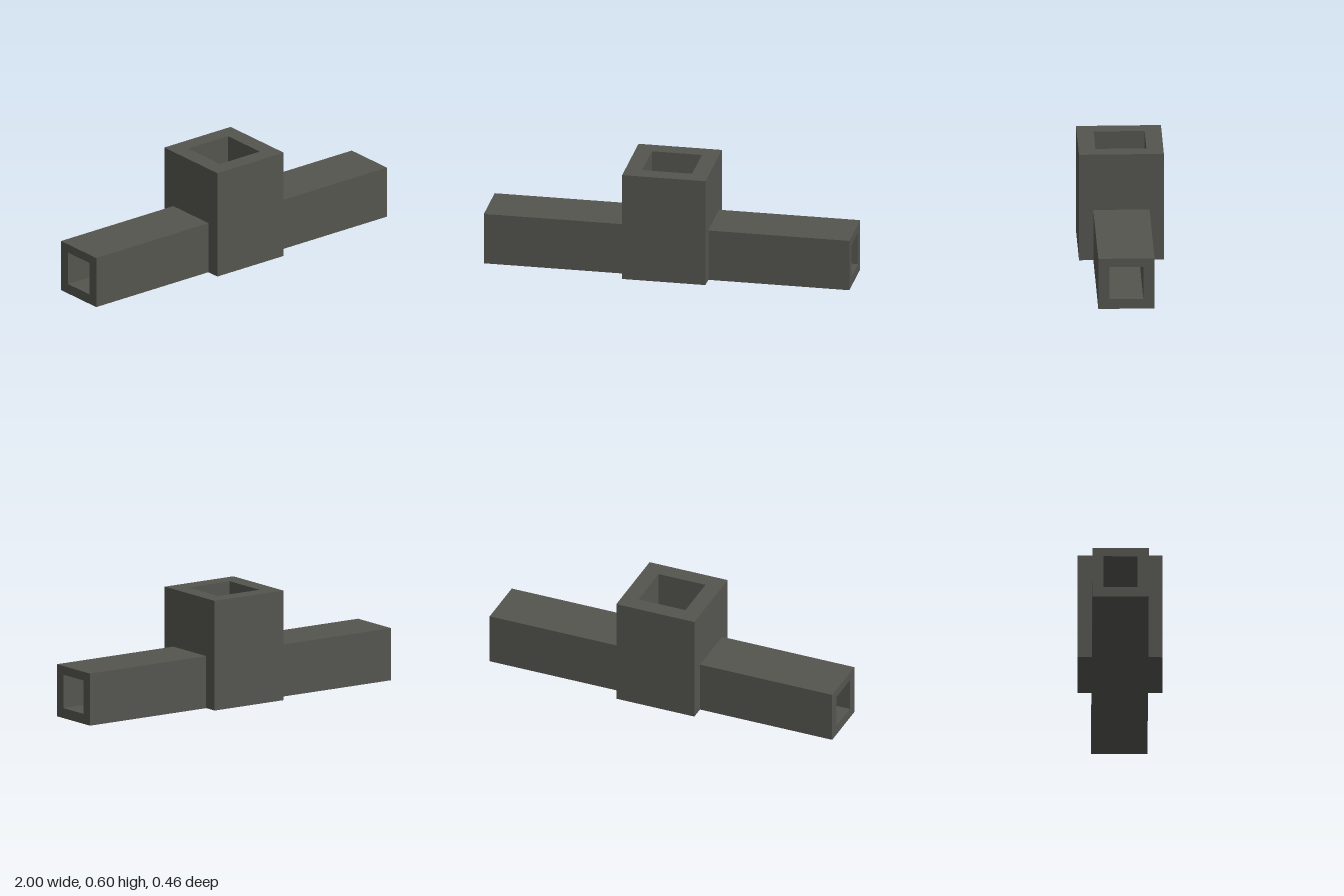
import * as THREE from 'three';

// Rectangle path: half width w, from y0 to y1
function rect(PathType, w, y0, y1) {
  return new PathType([[-w, y0], [w, y0], [w, y1], [-w, y1]].map(p => new THREE.Vector2(...p)));
}

// Square tube extruded along z
function tube(outer, inner, length) {
  const shape = rect(THREE.Shape, ...outer);
  shape.holes.push(rect(THREE.Path, ...inner));
  return new THREE.ExtrudeGeometry(shape, { depth: length, bevelEnabled: false });
}

export function createModel() {
  const model = new THREE.Group();
  model.name = 'teeConnector';
  const grey = new THREE.MeshStandardMaterial({ color: 0x555550 });
  grey.name = 'dark grey';

  const hub = 0.228, floor = 0.286, height = 0.602;
  const channel = [0.091, 0.055, 0.238];

  const add = (name, geometry) => {
    const mesh = new THREE.Mesh(geometry, grey);
    mesh.name = name;
    model.add(mesh);
  };

  // Arms with the through channel
  const armLength = 1 - hub;
  for (const [name, x] of [['leftArm', hub], ['rightArm', -1]]) {
    add(name, tube([0.151, 0, floor], channel, armLength).rotateY(Math.PI / 2).translate(x, 0, 0));
  }

  // Hub base: carries the channel, and its top is the socket floor
  add('hubBase', tube([hub, 0, floor], channel, 2 * hub).rotateY(Math.PI / 2).translate(-hub, 0, 0));

  // Upright square socket, open at the top
  add('socket', tube([hub, -hub, hub], [0.137, -0.137, 0.137], height - floor)
    .rotateX(-Math.PI / 2).translate(0, floor, 0));

  return model;
}
